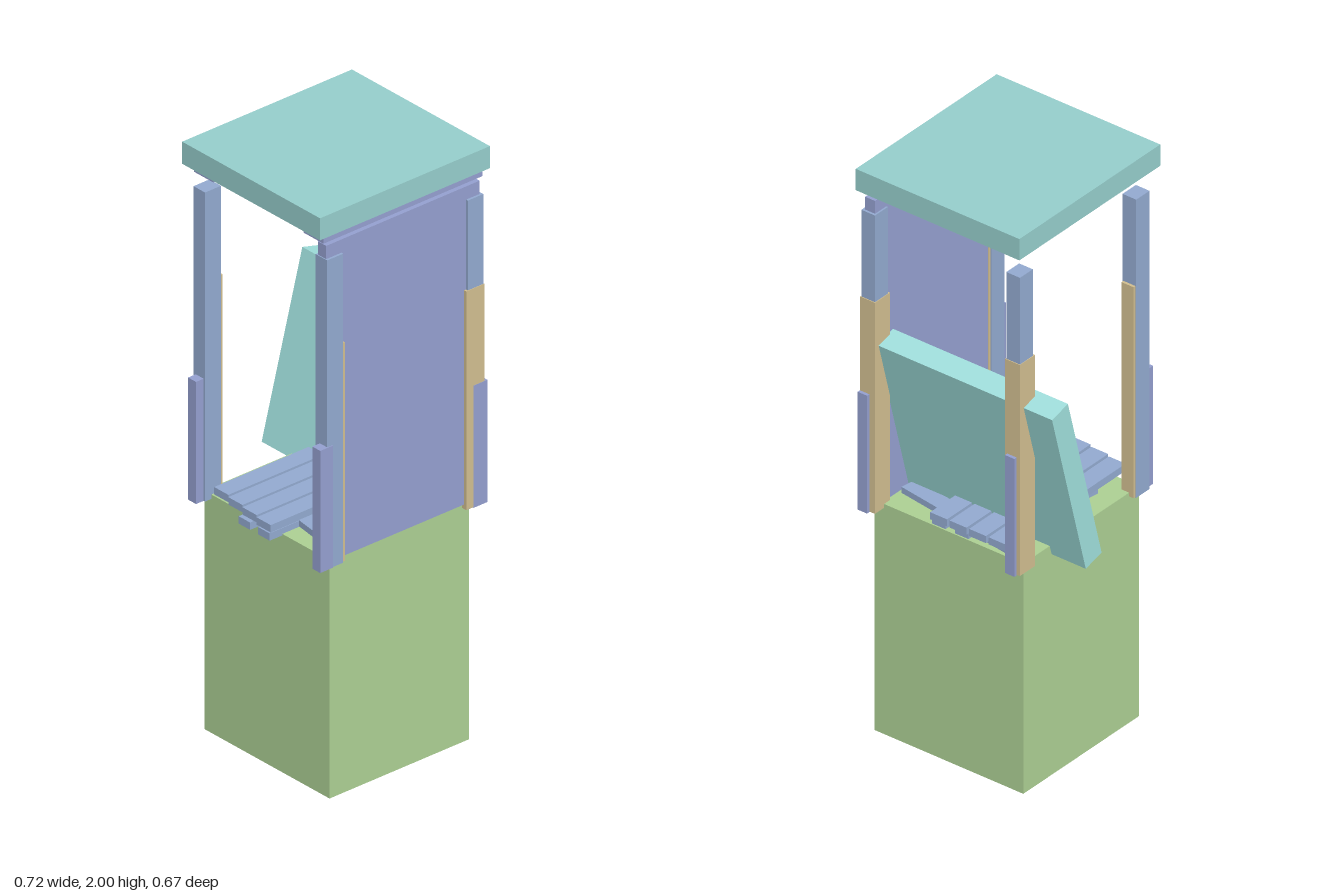
import * as THREE from 'three';

const mat = (color) => new THREE.MeshStandardMaterial({ color, flatShading: true });

export function createModel() {
  const model = new THREE.Group();
  const green = mat(0xaccf93), teal = mat(0x95cdcb), aqua = mat(0x9fdedb);
  const steel = mat(0x92a9cf), violet = mat(0x949fcf), tan = mat(0xd0bd8f);

  // Box given by its lower and upper corners
  const box = (name, material, [x0, y0, z0], [x1, y1, z1]) => {
    const mesh = new THREE.Mesh(new THREE.BoxGeometry(x1 - x0, y1 - y0, z1 - z0), material);
    mesh.position.set((x0 + x1) / 2, (y0 + y1) / 2, (z0 + z1) / 2);
    mesh.name = name;
    model.add(mesh);
    return mesh;
  };

  // Base block, roof slab and closed side wall
  box('base', green, [-0.23, 0, -0.275], [0.335, 0.81, 0.275]);
  box('roof', teal, [-0.267, 1.925, -0.34], [0.355, 2, 0.33]);
  box('sideWall', violet, [0.307, 0.812, -0.308], [0.345, 1.89, 0.297]);

  // Corner posts with inner tan liners and short outer braces, beams under the roof
  const sides = [
    { name: 'right', x0: -0.25, x1: -0.198, b0: -0.24, b1: -0.204, r0: -0.235, r1: -0.147 },
    { name: 'left', x0: 0.301, x1: 0.353, b0: 0.32, b1: 0.356, r0: 0.26, r1: 0.35 },
  ];
  for (const s of sides) {
    box(`${s.name}FrontPost`, steel, [s.x0, 0.795, 0.237], [s.x1, 1.845, 0.3]);
    box(`${s.name}FrontLiner`, tan, [s.x0 + 0.003, 0.797, 0.228], [s.x1 - 0.003, 1.54, 0.29]);
    box(`${s.name}FrontBrace`, violet, [s.b0, 0.795, 0.28], [s.b1, 1.21, 0.33]);
    box(`${s.name}BackPost`, steel, [s.x0, 0.795, -0.316], [s.x1, 1.845, -0.255]);
    box(`${s.name}BackLiner`, tan, [s.x0 - 0.002, 0.797, -0.319], [s.x1 + 0.002, 1.54, -0.247]);
    box(`${s.name}BackBrace`, violet, [s.b0, 0.795, -0.33], [s.b1, 1.21, -0.275]);
    box(`${s.name}RoofBeam`, violet, [s.r0, 1.905, -0.315], [s.r1, 1.925, 0.312]);
  }

  // Panel leaning backwards
  const panel = box('leaningPanel', aqua, [-0.36, 0, 0], [0.305, 0.624, 0.078]);
  panel.position.set(-0.0275, 1.0885, -0.183);
  panel.rotation.x = -0.26;

  // Upper row of slats running front to back
  for (let i = 0; i < 4; i++) {
    const x = -0.166 + i * 0.074;
    box('slat', steel, [x, 0.83, -0.28], [x + 0.064, 0.855, 0.292 + i * 0.009]);
  }

  // Lower bearers and loose diagonal boards under the slats
  for (const x of [-0.018, 0.07]) {
    box('bearer', steel, [x, 0.805, -0.27], [x + 0.052, 0.83, 0.325]);
  }
  for (const z of [-0.2, 0.17]) {
    const board = box('looseBoard', steel, [-0.16, 0.811, z - 0.03], [0.295, 0.832, z + 0.03]);
    board.rotation.y = -0.15;
  }
  return model;
}
